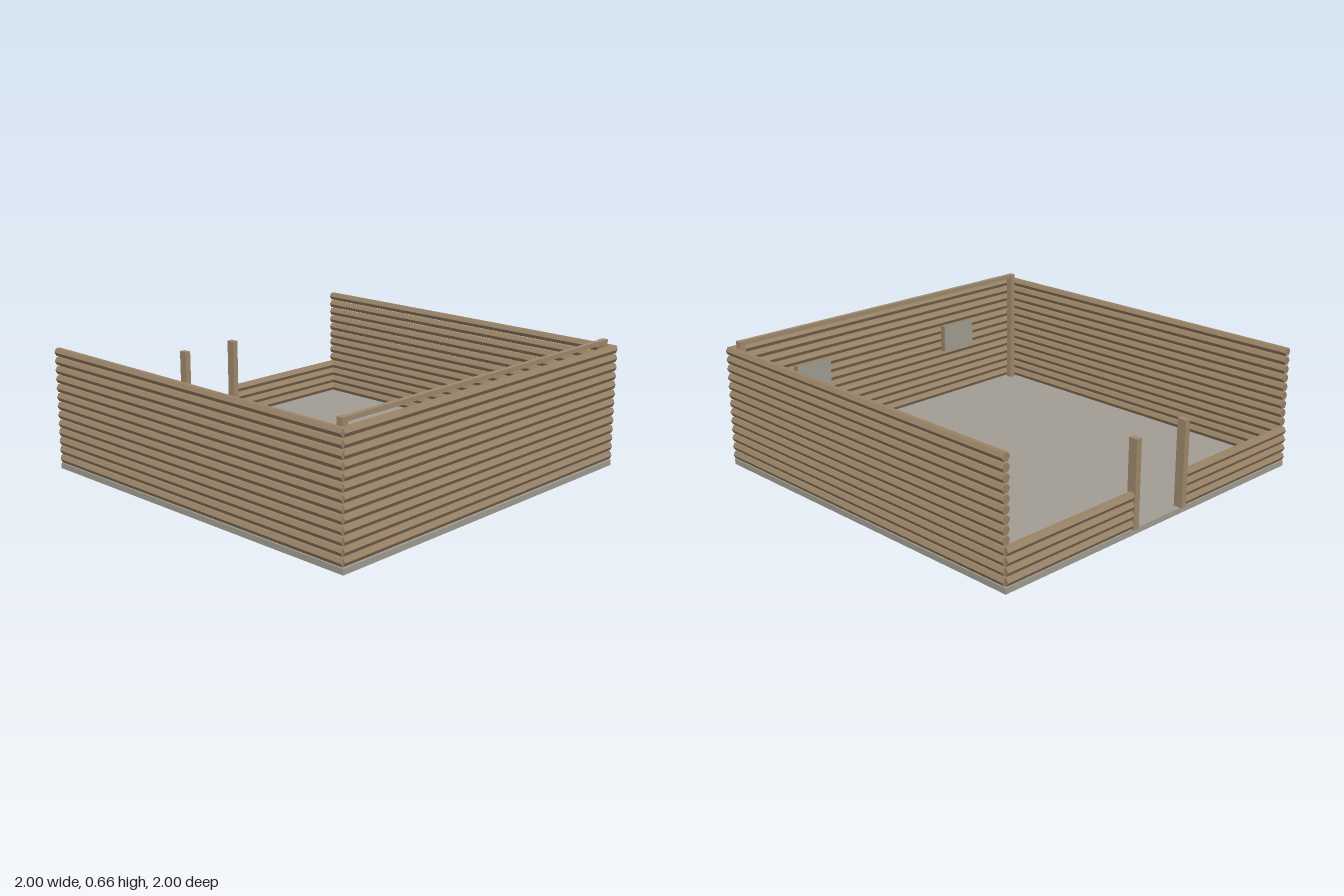
import * as THREE from 'three';

const named = (name, hex) => {
  const m = new THREE.MeshStandardMaterial({ color: hex });
  m.name = name;
  return m;
};

export function createModel() {
  const model = new THREE.Group();
  model.name = 'logCabin';
  const logWood = named('log wood', 0x9a8468);
  const postWood = named('post wood', 0xa08a6e);
  const stone = named('grey stone', 0xa29e94);

  const LOG_R = 0.0225, FIRST = 0.053, PITCH = 0.0463;

  // Box given by its limits on each axis
  function box(name, mat, [x0, x1], [y0, y1], [z0, z1], parent = model) {
    const mesh = new THREE.Mesh(new THREE.BoxGeometry(x1 - x0, y1 - y0, z1 - z0), mat);
    mesh.position.set((x0 + x1) / 2, (y0 + y1) / 2, (z0 + z1) / 2);
    mesh.name = name;
    parent.add(mesh);
  }

  // Stack of six-sided logs with flat tops; they lie along x unless turned
  function logWall(name, count, length, x, z, alongZ = false) {
    let geo = new THREE.CylinderGeometry(LOG_R, LOG_R, length, 6).rotateZ(Math.PI / 2);
    if (alongZ) geo.rotateY(Math.PI / 2);
    geo = geo.toNonIndexed();
    geo.computeVertexNormals();
    const wall = new THREE.Group();
    wall.name = name;
    for (let i = 0; i < count; i++) {
      const log = new THREE.Mesh(geo, logWood);
      log.name = 'log';
      log.position.set(x, FIRST + i * PITCH, z);
      wall.add(log);
    }
    model.add(wall);
  }

  // Floor slab
  box('floor', stone, [-0.99, 0.99], [0, 0.029], [-0.99, 0.99]);

  // Full-height front wall with its top rail
  logWall('frontWall', 13, 1.97, 0, 0.973);
  box('topRail', postWood, [-0.955, 0.955], [0.638, 0.66], [0.928, 0.952]);

  for (const s of [-1, 1]) {
    const side = s > 0 ? 'left' : 'right';
    const span = (a, b) => (s > 0 ? [a, b] : [-b, -a]);

    // Side wall and the low back wall beside the doorway
    logWall(side + 'Wall', 13, 1.965, s * 0.9775, 0.0025, true);
    logWall(side + 'BackWall', 4, 0.815, s * 0.5775, -0.9775);

    // Door post and front corner post
    box(side + 'DoorPost', postWood, span(0.155, 0.187), [0.029, 0.47], [-1, -0.953]);
    box(side + 'CornerPost', postWood, span(0.925, 0.957), [0.029, 0.66], [0.92, 0.953]);

    // Window board with a grey pane on the inside
    const win = new THREE.Group();
    win.name = side + 'Window';
    box('windowBoard', logWood, span(0.403, 0.618), [0.305, 0.452], [0.928, 0.958], win);
    box('windowPane', stone, span(0.405, 0.616), [0.307, 0.45], [0.924, 0.928], win);
    model.add(win);
  }
  return model;
}
